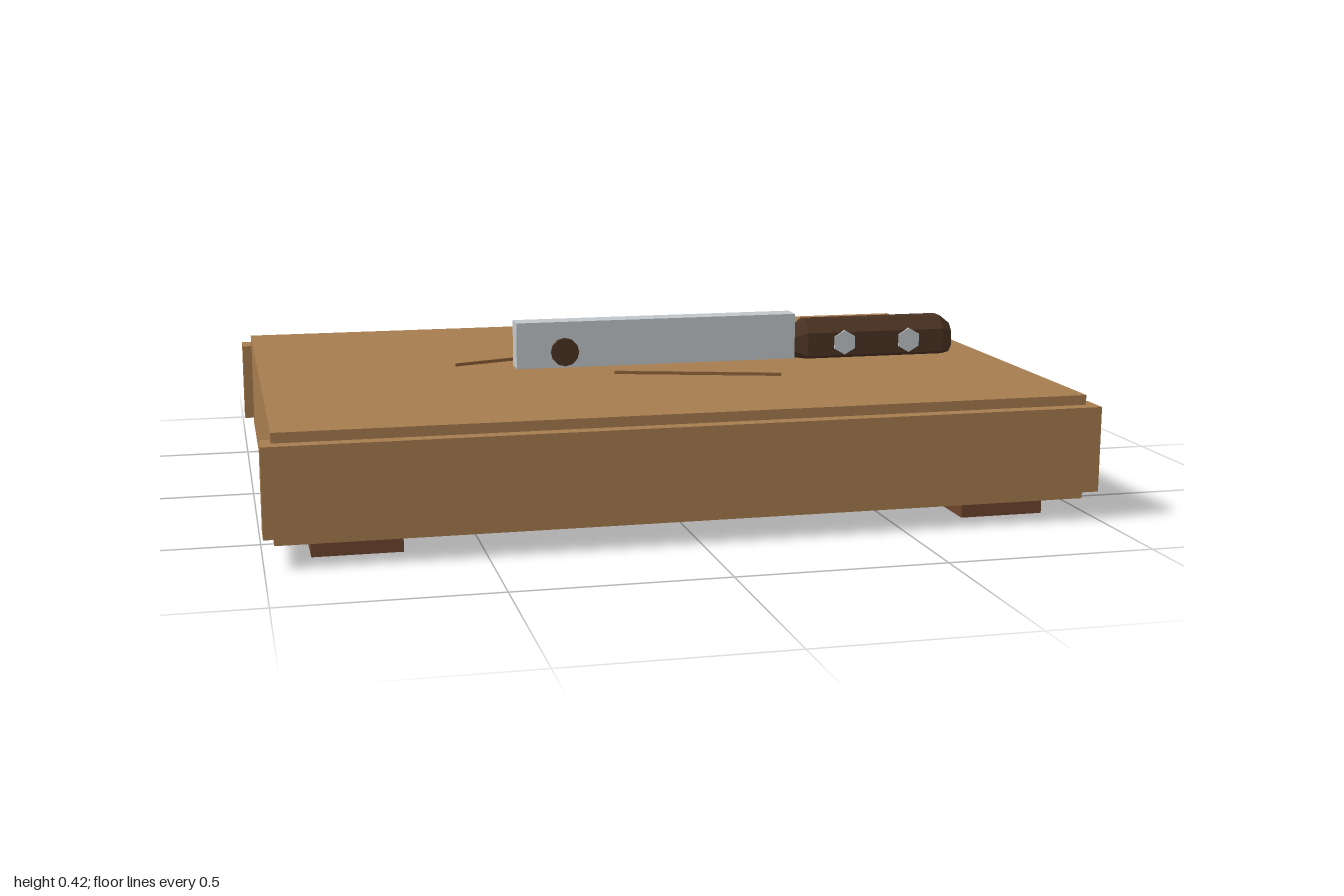
import * as THREE from 'three';
import { ConvexGeometry } from 'three/addons/geometries/ConvexGeometry.js';

const material = (name, color) => {
  const m = new THREE.MeshStandardMaterial({ color });
  m.name = name;
  return m;
};

export function createModel() {
  const wood = material('board wood', 0xa67c4e);
  const footWood = material('foot wood', 0x6e452e);
  const steel = material('steel', 0xc0c6ca);
  const darkWood = material('dark handle wood', 0x4a3222);
  const scoreWood = material('score brown', 0x8c6038);

  const model = new THREE.Group();
  model.name = 'choppingBoardWithCleaver';
  const add = (name, geometry, mat, x = 0, y = 0, z = 0, parent = model) => {
    const mesh = new THREE.Mesh(geometry, mat);
    mesh.name = name;
    mesh.position.set(x, y, z);
    parent.add(mesh);
    return mesh;
  };

  // Board with a rail along the front and back
  add('board', new THREE.BoxGeometry(1.95, 0.258, 1.37), wood, 0, 0.174, 0);
  for (const s of [1, -1]) {
    add(s > 0 ? 'frontRail' : 'backRail', new THREE.BoxGeometry(2, 0.21, 0.076), wood, 0, 0.174, s * 0.682);
    for (const t of [1, -1]) {
      add('foot', new THREE.BoxGeometry(0.21, 0.045, 0.21), footWood, t * 0.787, 0.0225, s * 0.53);
    }
  }

  // Fine ridges around knife cuts on the top
  const cuts = [
    [-0.08, 0.15, 0.33, 0.272],
    [0.2, -0.05, 0.575, -0.4],
    [-0.465, -0.05, -0.055, -0.19],
  ];
  for (const [x1, z1, x2, z2] of cuts) {
    const ridge = add('cutMark', new THREE.BoxGeometry(Math.hypot(x2 - x1, z2 - z1), 0.008, 0.005),
      scoreWood, (x1 + x2) / 2, 0.307, (z1 + z2) / 2);
    ridge.rotation.y = -Math.atan2(z2 - z1, x2 - x1);
  }

  // Cleaver blade driven through the board
  const cleaver = new THREE.Group();
  cleaver.name = 'cleaver';
  model.add(cleaver);
  const profile = new THREE.Shape([
    [-0.315, 0.424], [-0.315, 0.2], [-0.282, 0.03], [-0.275, 0.02],
    [0.415, 0.02], [0.443, 0.031], [0.443, 0.424],
  ].map(([x, y]) => new THREE.Vector2(x, y)));
  const bladeGeometry = new THREE.ExtrudeGeometry(profile, { depth: 0.06, bevelEnabled: false });
  add('blade', bladeGeometry, steel, 0, 0, -0.03, cleaver);

  // Eight-sided handle narrowing at both ends
  const section = [[0.05, 0.031], [0.021, 0.064], [-0.021, 0.064], [-0.05, 0.031],
    [-0.05, -0.031], [-0.021, -0.064], [0.021, -0.064], [0.05, -0.031]];
  const points = [];
  for (const [x, scale] of [[0.443, 0.62], [0.475, 1], [0.86, 1], [0.892, 0.62]]) {
    for (const [z, y] of section) points.push(new THREE.Vector3(x, 0.341 + y * scale, z * scale));
  }
  add('handle', new ConvexGeometry(points), darkWood, 0, 0, 0, cleaver);

  // Hexagonal rivets and the dark plug near the blade tip
  const crossPin = (name, x, radius, length, sides, mat) => {
    const g = new THREE.CylinderGeometry(radius, radius, length, sides).toNonIndexed();
    g.computeVertexNormals();
    g.rotateX(Math.PI / 2);
    add(name, g, mat, x, 0.345, 0, cleaver);
  };
  crossPin('rivet', 0.577, 0.033, 0.11, 6, steel);
  crossPin('rivet', 0.76, 0.033, 0.11, 6, steel);
  crossPin('bladePlug', -0.188, 0.037, 0.084, 12, darkWood);

  return model;
}
